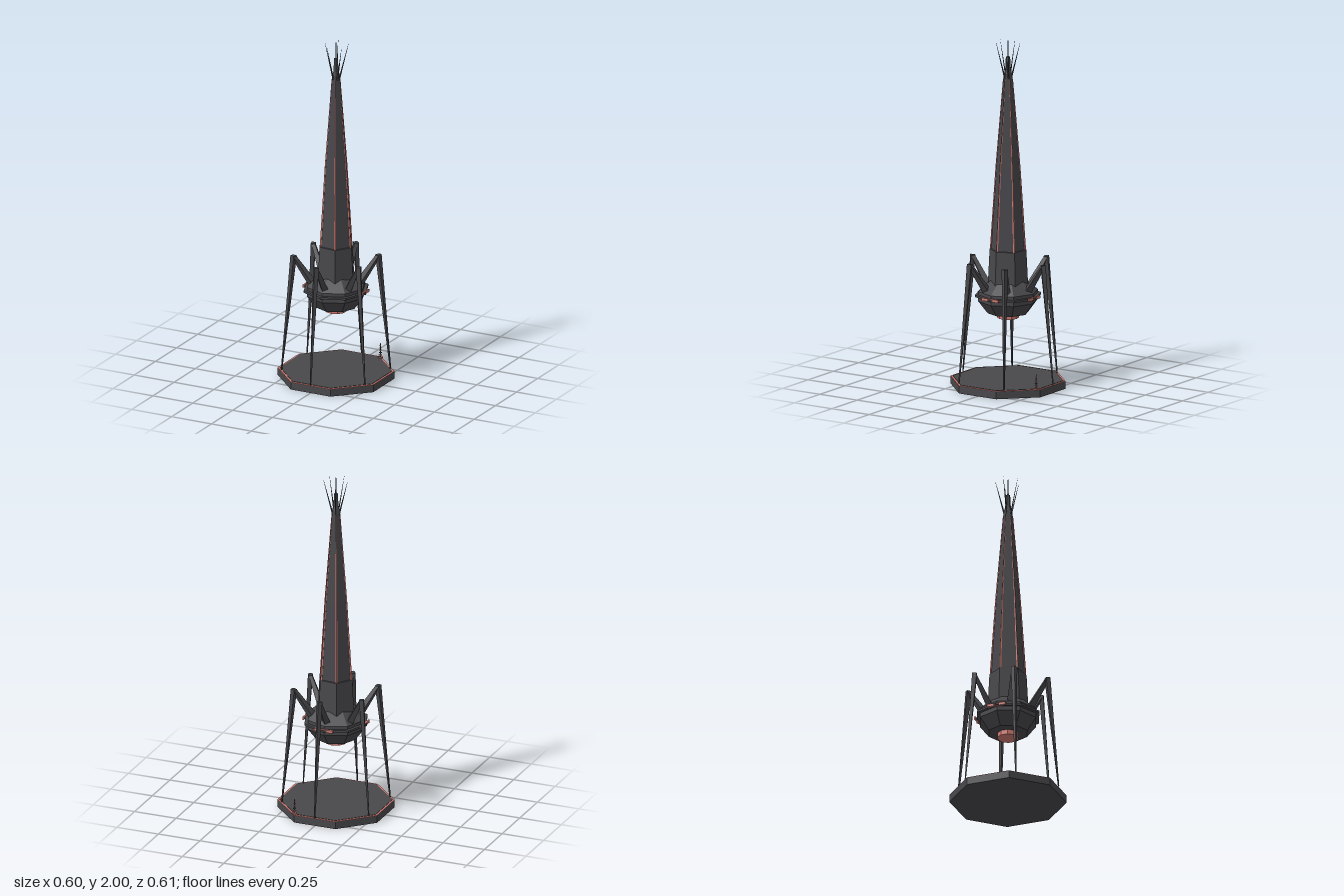
import * as THREE from 'three';

const flat = (name, color) => {
  const m = new THREE.MeshStandardMaterial({ color, flatShading: true });
  m.name = name;
  return m;
};

export function createModel() {
  const root = new THREE.Group();
  root.name = 'spireStation';
  const hull = flat('dark hull', 0x48474b);
  const glow = flat('salmon trim', 0xd27b72);

  const add = (parent, name, geo, mat, x = 0, y = 0, z = 0) => {
    const mesh = new THREE.Mesh(geo, mat);
    mesh.name = name;
    mesh.position.set(x, y, z);
    parent.add(mesh);
    return mesh;
  };
  const prism = (rTop, rBottom, h, sides) => new THREE.CylinderGeometry(rTop, rBottom, h, sides);
  const lathe = (pts, sides, start = 0) =>
    new THREE.LatheGeometry(pts.map(([r, y]) => new THREE.Vector2(r, y)), sides, start);
  // tapered bar in the x-y plane of its parent, from [x, y] to [x, y]
  const bar = (parent, name, mat, a, b, ra, rb, sides = 4) => {
    const dx = b[0] - a[0], dy = b[1] - a[1];
    const mesh = add(parent, name, prism(rb, ra, Math.hypot(dx, dy), sides), mat,
      (a[0] + b[0]) / 2, (a[1] + b[1]) / 2);
    mesh.rotation.z = Math.atan2(-dx, dy);
    return mesh;
  };
  // group whose +x points outward at the given angle, measured from +x towards +z
  const spoke = (name, degrees) => {
    const g = new THREE.Group();
    g.name = name;
    g.rotation.y = -THREE.MathUtils.degToRad(degrees);
    root.add(g);
    return g;
  };

  // octagonal landing platform with a bright rim
  const corner = 1 / Math.cos(Math.PI / 8);
  const slab = (name, apothem, y0, y1, mat) => {
    const m = add(root, name, prism(apothem * corner, apothem * corner, y1 - y0, 8), mat, 0, (y0 + y1) / 2);
    m.rotation.y = Math.PI / 8;
  };
  slab('platformBody', 0.3, 0, 0.042, hull);
  slab('platformRim', 0.3, 0.042, 0.044, glow);
  slab('platformDeck', 0.289, 0.044, 0.046, hull);

  // small mast on the platform edge
  const mast = new THREE.Group();
  mast.name = 'platformMast';
  mast.position.set(0.131, 0.044, -0.278);
  root.add(mast);
  add(mast, 'mastFoot', new THREE.BoxGeometry(0.02, 0.006, 0.02), glow, 0, 0.003);
  add(mast, 'mastPole', prism(0.002, 0.004, 0.085, 4), hull, 0, 0.045);
  for (let i = 0; i < 5; i++) {
    const w = 0.014 - i * 0.002;
    add(mast, 'mastRung', new THREE.BoxGeometry(w, 0.004, w), i % 2 ? hull : glow, 0, 0.018 + i * 0.014);
  }

  // central pod, its belt and the emitter underneath
  add(root, 'pod', lathe([[0, 0.415], [0.115, 0.42], [0.168, 0.49], [0.168, 0.545],
    [0.135, 0.575], [0.1, 0.605], [0, 0.605]], 8), hull);
  add(root, 'podBelt', prism(0.187, 0.187, 0.012, 8), hull, 0, 0.521);
  add(root, 'emitter', prism(0.06, 0.06, 0.035, 10), glow, 0, 0.408);

  // light panels on both sides and at the back of the belt
  for (const deg of [0, 180, 270]) {
    add(spoke('beltLight', deg), 'beltLightPanel', new THREE.BoxGeometry(0.009, 0.016, 0.11), glow, 0.175, 0.522);
  }

  // hexagonal spire with a collar at its foot
  const start = THREE.MathUtils.degToRad(85);
  add(root, 'spireCollar', lathe([[0.113, 0.58], [0.103, 0.78], [0.09, 0.782]], 6, start), hull);
  add(root, 'spire', lathe([[0.095, 0.775], [0.066, 1.25], [0.023, 1.78], [0.016, 1.8],
    [0.012, 1.875], [0, 1.88]], 6, start), hull);

  // bright strips along the spire edges
  for (let i = 0; i < 6; i++) {
    const g = spoke('spireEdge', 5 + 60 * i);
    bar(g, 'lowerEdgeStrip', glow, [0.096, 0.77], [0.066, 1.25], 0.006, 0.004);
    bar(g, 'upperEdgeStrip', glow, [0.066, 1.25], [0.026, 1.75], 0.004, 0.002);
  }

  // needle and whip antennas at the top
  add(root, 'needle', prism(0.0005, 0.005, 0.13, 4), hull, 0, 1.935);
  for (let i = 0; i < 5; i++) {
    bar(spoke('antenna', 180 + 72 * i), 'antennaWhip', hull, [0.015, 1.74], [0.07, 1.96], 0.005, 0.0006);
  }

  // six jointed legs
  for (let i = 0; i < 6; i++) {
    const g = spoke('leg', 30 + 60 * i);
    bar(g, 'lowerLeg', hull, [0.302, 0.045], [0.235, 0.718], 0.004, 0.018);
    bar(g, 'upperLeg', hull, [0.135, 0.56], [0.232, 0.708], 0.024, 0.014);
  }
  return root;
}
